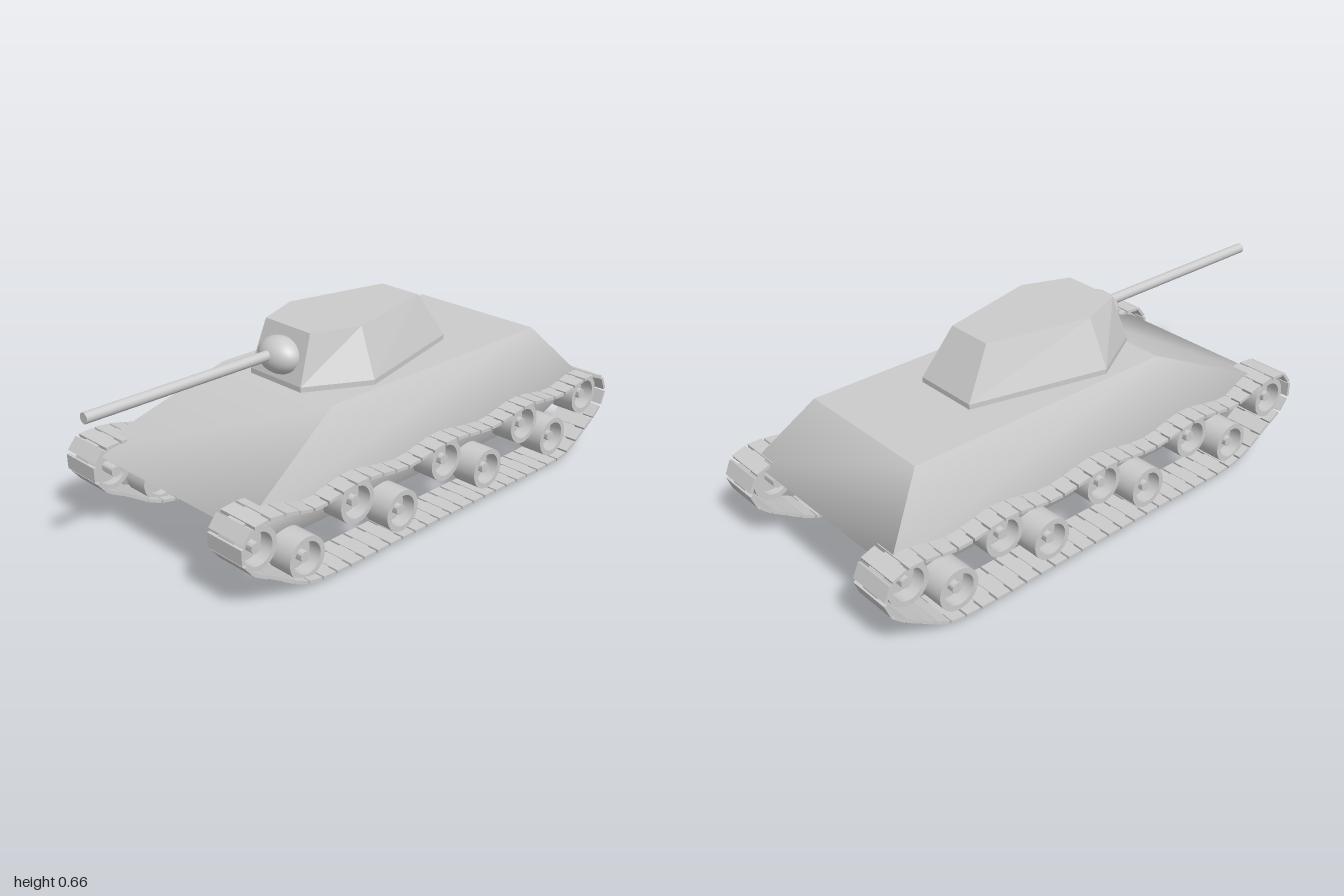
import * as THREE from 'three';
import { mergeGeometries, toCreasedNormals } from 'three/addons/utils/BufferGeometryUtils.js';

const grey = new THREE.MeshStandardMaterial({ color: 0xcccccc });
const greyDouble = new THREE.MeshStandardMaterial({ color: 0xcccccc, side: THREE.DoubleSide });

function addMesh(parent, name, geometry, x = 0, y = 0, z = 0, material = grey) {
  const mesh = new THREE.Mesh(geometry, material);
  mesh.name = name;
  mesh.position.set(x, y, z);
  parent.add(mesh);
  return mesh;
}

function facet(points, indices, smooth) {
  let g = new THREE.BufferGeometry();
  g.setAttribute('position', new THREE.Float32BufferAttribute(points.flat(), 3));
  g.setIndex(indices);
  g = smooth ? g : g.toNonIndexed();
  g.computeVertexNormals();
  return smooth ? g.toNonIndexed() : g;
}

// Closed solid through rings listed bottom to top; each side keeps sharp corners
function loft(rings, smooth) {
  const n = rings[0].length;
  const parts = [];
  for (let i = 0; i < n; i++) {
    const points = rings.flatMap((r) => [r[i], r[(i + 1) % n]]);
    const indices = [];
    for (let k = 0; k < rings.length - 1; k++) {
      const a = 2 * k;
      indices.push(a, a + 1, a + 3, a, a + 3, a + 2);
    }
    parts.push(facet(points, indices, smooth));
  }
  const fan = [];
  for (let i = 1; i < n - 1; i++) fan.push(0, i, i + 1);
  parts.push(facet(rings[rings.length - 1], fan, false));
  parts.push(facet([...rings[0]].reverse(), fan, false));
  return mergeGeometries(parts);
}

// Ring from half outline [x, z], front to rear, mirrored across z
const ring = (y, half) => [
  ...half.map(([x, z]) => [x, y, z]),
  ...[...half].reverse().map(([x, z]) => [x, y, -z]),
];

// Dished road wheel with rim, recessed web and hub; axis along y, outside at +y
function wheelGeometry() {
  const profile = [
    [0, -0.075], [0.018, -0.075], [0.018, -0.02], [0.055, -0.02], [0.055, -0.05], [0.073, -0.05],
    [0.073, 0.05], [0.055, 0.05], [0.055, 0.0], [0.018, 0.0], [0.018, 0.04], [0, 0.04],
  ].map(([r, y]) => new THREE.Vector2(r, y));
  return toCreasedNormals(new THREE.LatheGeometry(profile, 28), 0.7);
}

const wheelCentres = [
  [-0.715, 0.205], [-0.305, 0.205], [0.115, 0.205], [0.535, 0.205], [0.895, 0.21],
  [-0.52, 0.095], [-0.095, 0.095], [0.34, 0.095], [0.715, 0.095],
];

const trackPath = new THREE.CatmullRomCurve3([
  [-0.795, 0.22], [-0.765, 0.285], [-0.7, 0.3], [-0.62, 0.293], [-0.5, 0.268], [-0.305, 0.287],
  [-0.095, 0.266], [0.115, 0.285], [0.33, 0.266], [0.535, 0.285], [0.715, 0.268], [0.895, 0.285],
  [0.965, 0.262], [0.99, 0.205], [0.965, 0.145], [0.87, 0.075], [0.77, 0.02], [0.7, 0.009],
  [0.3, 0.011], [-0.1, 0.014], [-0.48, 0.019], [-0.57, 0.042], [-0.67, 0.1], [-0.76, 0.155],
].map(([x, y]) => new THREE.Vector3(x, y, 0)), true, 'centripetal');

// Separate pads laid along the path, joined by narrow links
function trackGeometry() {
  const count = 64;
  const pitch = trackPath.getLength() / count;
  const parts = [];
  for (let i = 0; i < count; i++) {
    for (const [shift, length, thickness, width] of [[0, pitch * 0.87, 0.011, 0.153], [0.5, pitch * 0.4, 0.007, 0.07]]) {
      const u = ((i + shift) / count) % 1;
      const p = trackPath.getPointAt(u);
      const t = trackPath.getTangentAt(u);
      const box = new THREE.BoxGeometry(length, thickness, width);
      box.rotateZ(Math.atan2(t.y, t.x));
      parts.push(box.translate(p.x, p.y, 0));
    }
  }
  return mergeGeometries(parts);
}

export function createModel() {
  const model = new THREE.Group();
  model.name = 'tank';

  // Hull with sloped armour above and below its widest line
  addMesh(model, 'hull', loft([
    ring(0.115, [[-0.55, 0.295], [0.79, 0.295]]),
    ring(0.262, [[-0.75, 0.38], [0.93, 0.375]]),
    ring(0.475, [[-0.27, 0.265], [0.745, 0.265]]),
  ], true));

  // Six-sided turret with a short upright skirt
  const turret = new THREE.Group();
  turret.name = 'turret';
  model.add(turret);
  const base = [[-0.27, 0.12], [-0.055, 0.24], [0.425, 0.12]];
  addMesh(turret, 'turretBody', loft([
    ring(0.47, base),
    ring(0.493, base),
    ring(0.658, [[-0.212, 0.105], [-0.045, 0.17], [0.322, 0.085]]),
  ], false));

  // Rounded mantlet and gun barrel
  const mantlet = addMesh(turret, 'mantlet', new THREE.SphereGeometry(1, 28, 18), -0.247, 0.567, 0);
  mantlet.scale.set(0.063, 0.063, 0.085);
  const barrel = new THREE.CylinderGeometry(0.018, 0.018, 0.74, 20).rotateZ(Math.PI / 2);
  addMesh(turret, 'gunBarrel', barrel, -0.63, 0.578, 0);

  // Running gear on both sides
  const wheel = wheelGeometry();
  const track = trackGeometry();
  for (const side of [1, -1]) {
    const gear = new THREE.Group();
    gear.name = side > 0 ? 'leftRunningGear' : 'rightRunningGear';
    gear.position.z = side * 0.363;
    model.add(gear);
    addMesh(gear, 'track', track);
    for (const [x, y] of wheelCentres) {
      addMesh(gear, 'roadWheel', wheel, x, y, 0, greyDouble).rotation.x = side * Math.PI / 2;
    }
  }
  return model;
}
